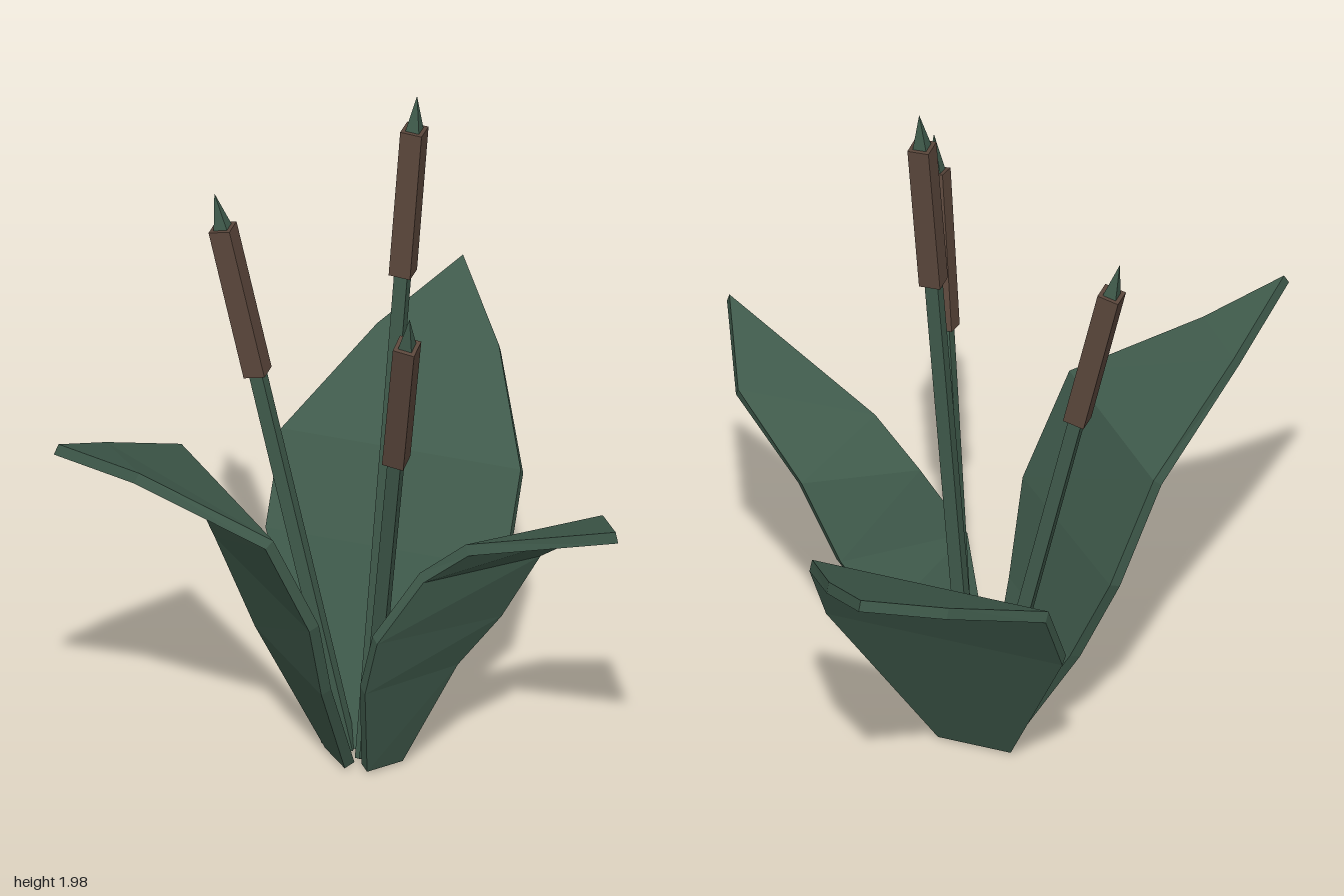
import * as THREE from 'three';

const V = (p) => new THREE.Vector3(...p);

const leafGreen = new THREE.MeshStandardMaterial({ name: 'leafGreen', color: 0x3f5a4b, flatShading: true });
const headBrown = new THREE.MeshStandardMaterial({ name: 'headBrown', color: 0x5a463b, flatShading: true });

// Folded plate: each row is the pair of points on the two leaf edges, thickened along the row normal
function leaf(name, rows, thickness = 0.03) {
  const pairs = rows.map(([a, b]) => [V(a), V(b)]);
  const mids = pairs.map(([a, b]) => a.clone().add(b).multiplyScalar(0.5));
  const last = rows.length - 1;
  let across = new THREE.Vector3();
  const loops = pairs.map(([a, b], i) => {
    if (a.distanceTo(b) > 1e-4) across = b.clone().sub(a);
    const along = mids[Math.min(i + 1, last)].clone().sub(mids[Math.max(i - 1, 0)]);
    const n = across.clone().cross(along).setLength(thickness / 2);
    return [a.clone().add(n), b.clone().add(n), b.clone().sub(n), a.clone().sub(n)];
  });
  const points = [];
  const quad = (a, b, c, d) => points.push(a, b, c, a, c, d);
  for (let i = 0; i < last; i++) {
    for (let j = 0; j < 4; j++) {
      const k = (j + 1) % 4;
      quad(loops[i][j], loops[i][k], loops[i + 1][k], loops[i + 1][j]);
    }
  }
  quad(...[...loops[0]].reverse());
  quad(...loops[last]);
  const geometry = new THREE.BufferGeometry().setFromPoints(points);
  geometry.computeVertexNormals();
  const mesh = new THREE.Mesh(geometry, leafGreen);
  mesh.name = name;
  return mesh;
}

// Square stalk with a brown seed head and a pointed tip, leaning from base to top
function reed(name, base, top, headLength = 0.43, tipLength = 0.1) {
  const group = new THREE.Group();
  group.name = name;
  const axis = V(top).sub(V(base));
  const stalkLength = axis.length() - headLength - tipLength;
  const add = (part, geometry, material, y) => {
    const mesh = new THREE.Mesh(geometry, material);
    mesh.name = part;
    mesh.position.y = y;
    group.add(mesh);
  };
  add('stalk', new THREE.BoxGeometry(0.036, stalkLength, 0.036), leafGreen, stalkLength / 2);
  add('seedHead', new THREE.BoxGeometry(0.058, headLength, 0.058), headBrown, stalkLength + headLength / 2);
  add('tip', new THREE.ConeGeometry(0.026, tipLength, 4).rotateY(Math.PI / 4), leafGreen,
    stalkLength + headLength + tipLength / 2);
  group.position.set(...base);
  group.quaternion.setFromUnitVectors(new THREE.Vector3(0, 1, 0), axis.normalize());
  return group;
}

export function createModel() {
  const model = new THREE.Group();
  model.name = 'reedPlant';

  // Back leaf is symmetric: half width, y, z per row
  const backRows = [[0.1, 0.02, 0.095], [0.325, 0.5, -0.125], [0.325, 0.72, -0.25], [0.165, 0.89, -0.55], [0, 1.01, -0.755]]
    .map(([w, y, z]) => [[-0.1 - w, y, z], [-0.1 + w, y, z]]);
  model.add(leaf('backLeaf', backRows));

  model.add(leaf('rightLeaf', [
    [[-0.1, 0.02, 0.18], [-0.18, 0.02, 0.1]],
    [[-0.1, 0.35, 0.37], [-0.37, 0.35, 0.1]],
    [[-0.1, 0.6, 0.47], [-0.48, 0.6, 0.1]],
    [[-0.19, 0.89, 0.565], [-0.565, 0.89, 0.185]],
    [[-0.52, 1.08, 0.655], [-0.655, 1.07, 0.52]],
    [[-0.705, 1.19, 0.755], [-0.705, 1.19, 0.755]],
  ]));

  model.add(leaf('leftLeaf', [
    [[-0.06, 0.02, 0.18], [0.01, 0.02, 0.1]],
    [[-0.03, 0.32, 0.285], [0.16, 0.34, 0.1]],
    [[0.015, 0.5, 0.32], [0.275, 0.5, 0.085]],
    [[0.13, 0.69, 0.285], [0.385, 0.71, 0.095]],
    [[0.26, 0.81, 0.305], [0.59, 0.89, 0.18]],
    [[0.705, 1.0, 0.42], [0.705, 1.0, 0.42]],
  ]));

  model.add(reed('tallReed', [-0.085, 0.01, 0.11], [0.04, 1.99, 0.05]));
  model.add(reed('rightReed', [-0.13, 0.02, 0.1], [-0.495, 1.62, 0.095]));
  model.add(reed('frontReed', [-0.07, 0.02, 0.12], [0.168, 1.6, 0.497]));
  return model;
}
